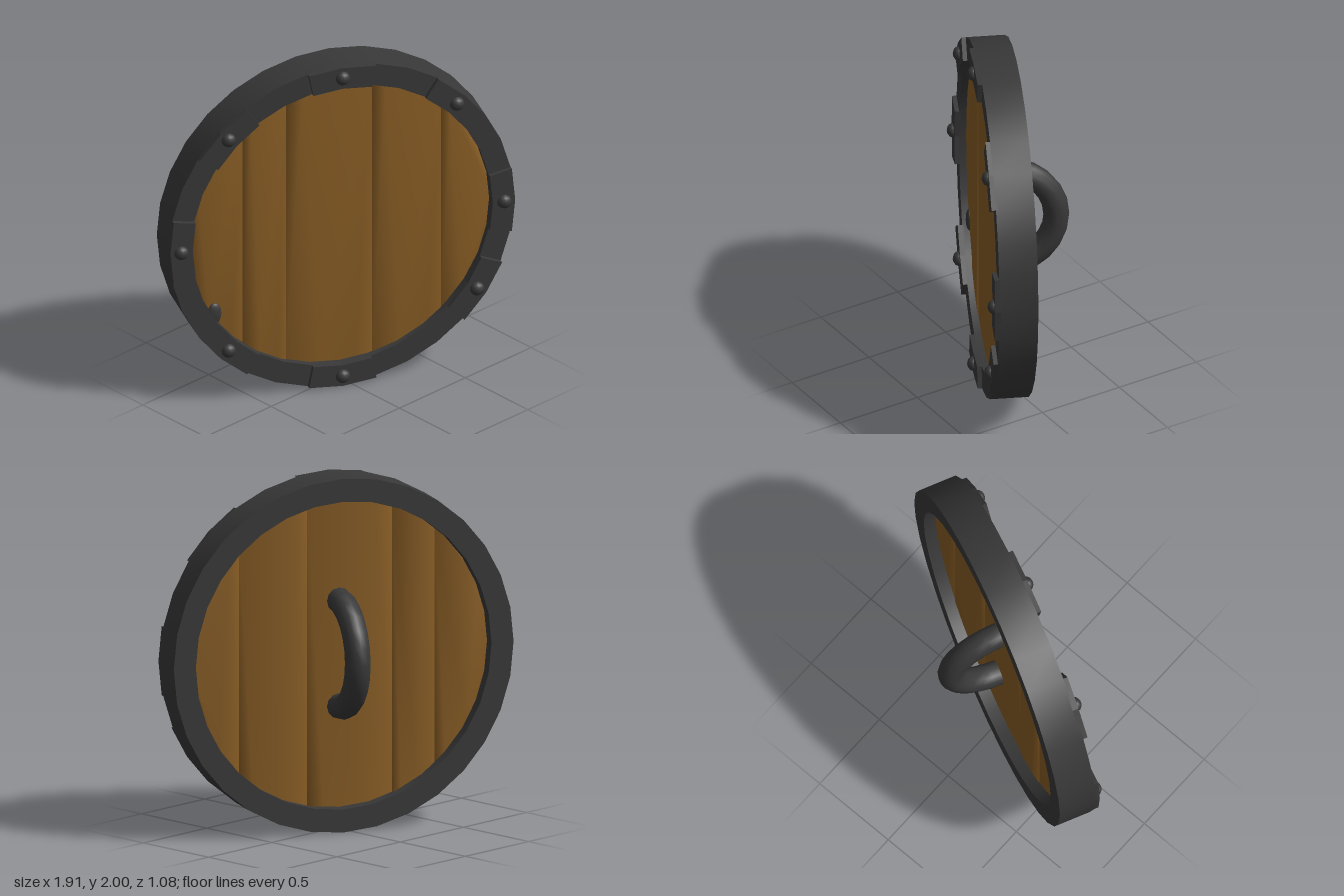
import * as THREE from 'three';
import { mergeVertices, toCreasedNormals } from 'three/addons/utils/BufferGeometryUtils.js';

const STEP = Math.PI / 16; // the rim has 32 sides
const RIM_IN = 0.87, RIM_BACK = 0.215, PLATE_FRONT = 0.24;

const polar = (r, a) => new THREE.Vector2(r * Math.cos(a), r * Math.sin(a));
const arc = (r, from, count) => Array.from({ length: count }, (_, i) => polar(r, from + i * STEP));

function extrude(shape, z0, z1) {
  const g = new THREE.ExtrudeGeometry(shape, { depth: z1 - z0, bevelEnabled: false });
  return g.translate(0, 0, z0);
}

// Upright plank between two x positions, its ends following the round rim
function plankGeometry(x0, x1, z0, z1) {
  const r = 0.885, n = 5, top = [], bottom = [];
  for (let i = 0; i <= n; i++) {
    const x = x0 + (x1 - x0) * i / n;
    const y = Math.sqrt(Math.max(r * r - x * x, 0.0004));
    bottom.push(new THREE.Vector2(x, -y));
    top.unshift(new THREE.Vector2(x, y));
  }
  const g = extrude(new THREE.Shape([...bottom, ...top]), z0, z1);
  g.deleteAttribute('uv');
  g.deleteAttribute('normal');
  const soft = mergeVertices(g);
  soft.computeVertexNormals(); // soft shading over the plank edges
  return soft;
}

export function createModel() {
  const wood = new THREE.MeshStandardMaterial({ color: 0x875c24 });
  wood.name = 'wood';
  const iron = new THREE.MeshStandardMaterial({ color: 0x383838 });
  iron.name = 'iron';

  const shield = new THREE.Group();
  shield.name = 'shield';
  const add = (name, geometry, material) => {
    const mesh = new THREE.Mesh(geometry, material);
    mesh.name = name;
    shield.add(mesh);
    return mesh;
  };

  // Planks
  const seams = [-0.884, -0.56, -0.31, 0.19, 0.59, 0.884];
  for (let i = 0; i < 5; i++) {
    const lift = (i % 2) * 0.005;
    add('plank', plankGeometry(seams[i], seams[i + 1], 0.07 - lift, 0.175 + lift), wood);
  }

  // Rim
  const ring = new THREE.Shape(arc(1, 0, 32));
  ring.holes.push(new THREE.Path(arc(RIM_IN, 0, 32).reverse()));
  add('rim', toCreasedNormals(extrude(ring, 0, RIM_BACK), 0.5), iron);

  // Raised plates with rivets; the lower right one sits one step higher
  for (let i = 0; i < 8; i++) {
    const a = i * Math.PI / 4 + (i === 7 ? STEP : 0);
    const outline = [...arc(1, a - STEP, 3), ...arc(RIM_IN, a - STEP, 3).reverse()];
    add('rimPlate', extrude(new THREE.Shape(outline), RIM_BACK - 0.01, PLATE_FRONT), iron);
    const p = polar(0.937, a);
    const rivet = add('rivet', new THREE.SphereGeometry(0.041, 12, 8), iron);
    rivet.position.set(p.x, p.y, PLATE_FRONT);
    rivet.scale.z = 0.85;
  }

  // Loose stud beside the lower left rim
  const stud = add('looseStud', new THREE.SphereGeometry(1, 12, 8), iron);
  stud.position.set(-0.725, -0.455, 0.175);
  stud.scale.set(0.042, 0.068, 0.02);

  // Grip on the back
  const grip = new THREE.TorusGeometry(0.3, 0.072, 12, 12, Math.PI);
  grip.rotateZ(Math.PI / 2).rotateY(-Math.PI / 2).translate(0, 0, 0.08);
  add('grip', grip, iron);

  // Turned a little to its right
  shield.position.set(0.05, 1, -0.115);
  shield.rotation.y = -0.44;

  const model = new THREE.Group();
  model.name = 'roundShield';
  model.add(shield);
  return model;
}
